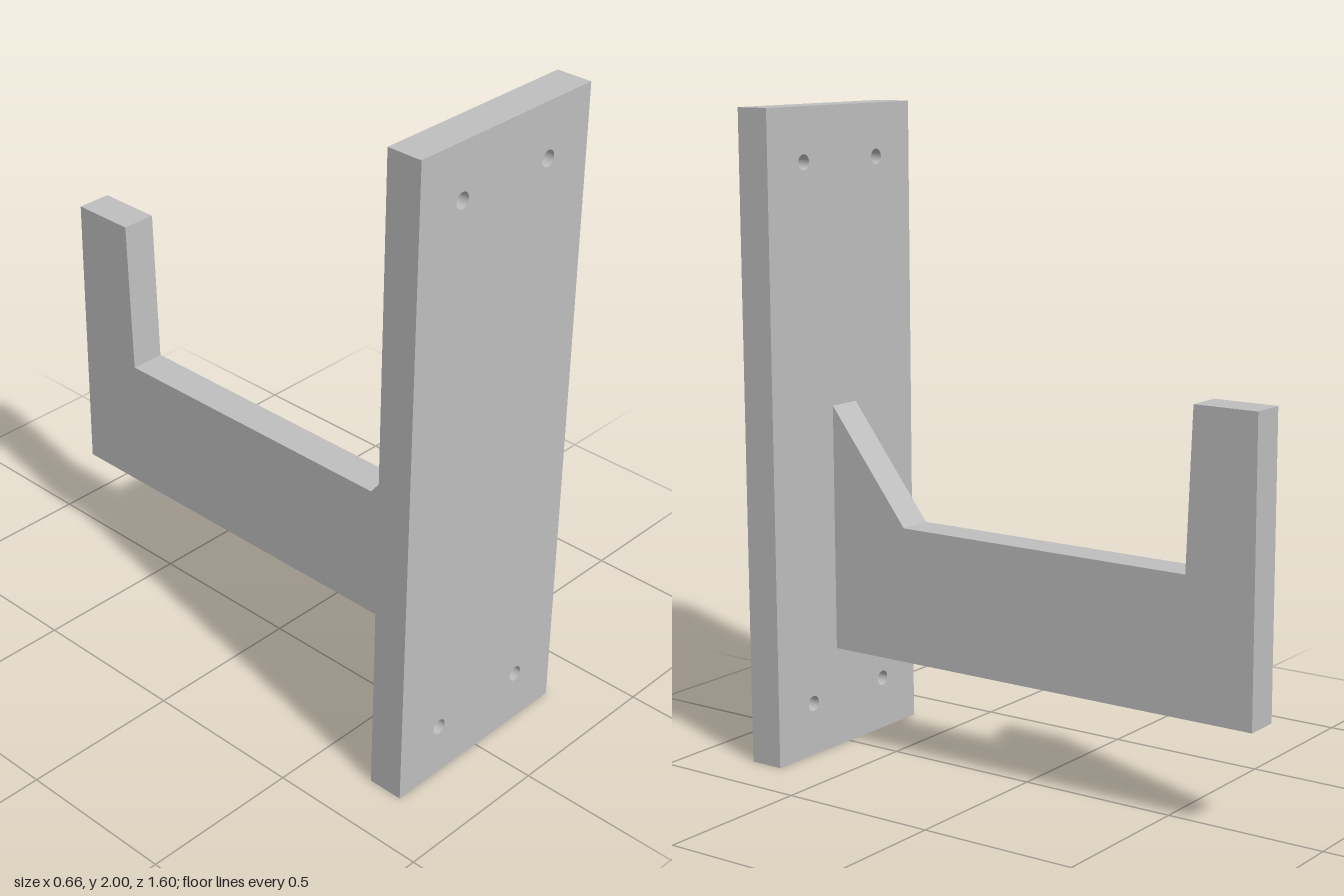
import * as THREE from 'three';

// Extrude a shape with sharp edges, centred on its depth
function slab(shape, depth, name, material) {
  const geometry = new THREE.ExtrudeGeometry(shape, { depth, bevelEnabled: false, curveSegments: 16 });
  geometry.translate(0, 0, -depth / 2);
  const mesh = new THREE.Mesh(geometry, material);
  mesh.name = name;
  return mesh;
}

export function createModel() {
  const group = new THREE.Group();
  group.name = 'wallHook';
  const grey = new THREE.MeshStandardMaterial({ color: 0xbfbfbf });
  grey.name = 'grey';

  // Mounting plate with four screw holes
  const w = 0.332;
  const plateShape = new THREE.Shape([[-w, 0], [w, 0], [w, 2], [-w, 2]].map(p => new THREE.Vector2(...p)));
  for (const x of [-0.17, 0.17]) {
    for (const y of [0.165, 1.835]) {
      plateShape.holes.push(new THREE.Path().absarc(x, y, 0.024, 0, Math.PI * 2, true));
    }
  }
  const plate = slab(plateShape, 0.11, 'mountingPlate', grey);
  plate.position.z = 0.745;
  group.add(plate);

  // Hook arm: side profile as (z, y), with gusset and upturned end
  const profile = [
    [0.69, 0.317], [0.69, 1.087], [0.418, 0.737], [-0.578, 0.737],
    [-0.597, 1.22], [-0.8, 1.22], [-0.8, 0.317],
  ];
  const arm = slab(new THREE.Shape(profile.map(p => new THREE.Vector2(...p))), 0.11, 'hookArm', grey);
  arm.rotation.y = -Math.PI / 2;
  group.add(arm);

  return group;
}
